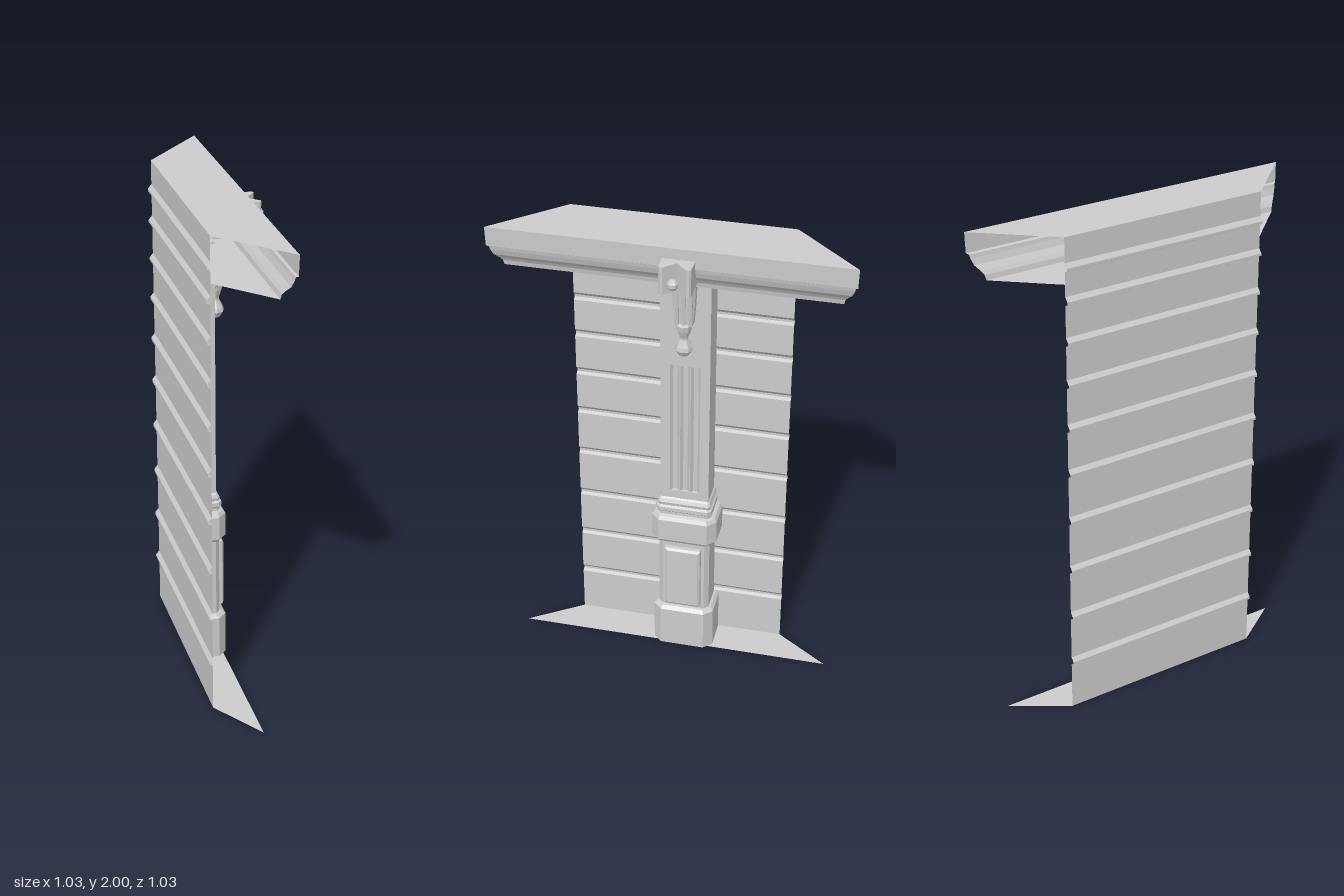
import * as THREE from 'three';

const WALL = -0.22;   // wall plane depth
const C = 0.038;      // pilaster centre along the wall
const mat = new THREE.MeshStandardMaterial({ color: 0xcccccc, flatShading: true, side: THREE.DoubleSide });

function add(parent, name, geo) {
  const m = new THREE.Mesh(geo, mat);
  m.name = name;
  parent.add(m);
  return m;
}

// Skin a list of rows of [x, y, z]; rows run upward, columns left to right
function skin(rows) {
  const n = rows[0].length, index = [];
  for (let i = 0; i < rows.length - 1; i++)
    for (let j = 0; j < n - 1; j++) {
      const a = i * n + j, d = a + n;
      index.push(a, a + 1, d + 1, a, d + 1, d);
    }
  const g = new THREE.BufferGeometry();
  g.setAttribute('position', new THREE.Float32BufferAttribute(rows.flat(2), 3));
  g.setIndex(index);
  const flat = g.toNonIndexed();
  flat.computeVertexNormals();
  return flat;
}

// Vertical prism from an [x, z] outline
function prism(outline, y0, y1) {
  const s = new THREE.Shape(outline.map(([x, z]) => new THREE.Vector2(x, -z)));
  return new THREE.ExtrudeGeometry(s, { depth: y1 - y0, bevelEnabled: false })
    .rotateX(-Math.PI / 2).translate(0, y0, 0);
}

// Three-sided section with chamfered front corners: [y, half width, front, chamfer, back]
function section([y, w, f, ch, back = -0.215]) {
  return [[-w, back], [-w, f - ch], [-w + ch, f], [w - ch, f], [w, f - ch], [w, back]]
    .map(([x, z]) => [C + x, y, z]);
}

export function createModel() {
  const root = new THREE.Group();
  root.name = 'wallBay';
  const bay = new THREE.Group();
  bay.name = 'bay';
  bay.rotation.y = Math.PI * 0.75;
  root.add(bay);

  // Wall sheet with horizontal grooves
  const wall = [[0, WALL]];
  for (const y of [0.21, 0.42, 0.63, 0.845, 1.05, 1.24, 1.42, 1.59, 1.75, 1.88])
    wall.push([y - 0.012, WALL], [y - 0.005, WALL - 0.014], [y + 0.005, WALL - 0.014], [y + 0.022, WALL]);
  wall.push([2, WALL]);
  add(bay, 'groovedWall', skin(wall.map(([y, z]) => [[-0.44, y, z], [0.44, y, z]])));

  // Floor strip
  add(bay, 'floorStrip', skin([
    [[-0.657, 0, -0.074], [0.657, 0, -0.074]],
    [[-0.44, 0, WALL], [0.44, 0, WALL]],
  ]));

  // Cornice with open mitred ends
  const cornice = [[1.82, WALL], [1.82, -0.025], [1.84, -0.021], [1.855, -0.012], [1.875, 0.004],
    [1.9, 0.013], [1.915, 0.016], [1.92, 0.024], [2, 0.026], [2, WALL]];
  add(bay, 'cornice', skin(cornice.map(([y, z]) => {
    const w = 0.44 + (z - WALL) * 1.08;
    return [[-w, y, z], [w, y, z]];
  })));

  const pilaster = new THREE.Group();
  pilaster.name = 'pilaster';
  bay.add(pilaster);

  // Base block, die, collar and stepped rings
  add(pilaster, 'pilasterBase', skin([
    [0, 0.128, -0.06, 0.035], [0.185, 0.128, -0.06, 0.035], [0.198, 0.116, -0.075, 0.03],
    [0.2, 0.107, -0.085, 0.018], [0.545, 0.107, -0.085, 0.018],
    [0.55, 0.125, -0.072, 0.03], [0.565, 0.137, -0.062, 0.035], [0.665, 0.137, -0.062, 0.035],
    [0.68, 0.128, -0.072, 0.03], [0.685, 0.112, -0.085, 0.015, -0.223], [0.698, 0.112, -0.085, 0.015, -0.223],
    [0.705, 0.116, -0.078, 0.015], [0.722, 0.116, -0.078, 0.015], [0.728, 0.109, -0.088, 0.01],
    [0.742, 0.112, -0.085, 0.01], [0.756, 0.106, -0.092, 0.008], [0.762, 0.1, -0.1, 0.004],
  ].map(section)));

  // Raised panel with sloping edges
  const px = 0.075;
  add(pilaster, 'diePanel', skin([[0.22, px, -0.09], [0.22, px, -0.068], [0.23, px - 0.01, -0.06],
    [0.51, px - 0.01, -0.06], [0.52, px, -0.068], [0.52, px, -0.09]]
    .map(([y, w, z]) => [[C - px, y, -0.09], [C - px, y, Math.min(z, -0.068)],
      [C - w, y, z], [C + w, y, z], [C + px, y, Math.min(z, -0.068)], [C + px, y, -0.09]])));

  // Shaft: plain ends and a fluted middle
  const plain = [[C - 0.1, -0.215], [C + 0.1, -0.215], [C + 0.1, -0.1], [C - 0.1, -0.1]];
  const fluted = plain.slice(0, 3);
  for (const k of [1, 0, -1]) {
    const x = C + k * 0.042;
    fluted.push([x + 0.019, -0.1], [x + 0.009, -0.113], [x - 0.009, -0.113], [x - 0.019, -0.1]);
  }
  fluted.push(plain[3]);
  add(pilaster, 'shaftFoot', prism(plain, 0.755, 0.8));
  add(pilaster, 'flutedShaft', prism(fluted, 0.8, 1.41));
  add(pilaster, 'shaftHead', prism(plain, 1.41, 1.83));

  // Console under the cornice, with ribs
  add(pilaster, 'console', skin([
    [1.6, 0.022, -0.08, 0.006], [1.62, 0.036, -0.066, 0.01], [1.7, 0.042, -0.06, 0.012],
    [1.79, 0.046, -0.056, 0.012], [1.8, 0.052, -0.048, 0.01], [1.83, 0.052, -0.048, 0.01],
  ].map(([y, w, f, ch]) => section([y, w, f, ch, -0.105]))));
  for (const k of [-1, 0, 1]) {
    const rib = add(pilaster, 'consoleRib', new THREE.CylinderGeometry(0.013, 0.009, 0.18, 6));
    rib.position.set(C + k * 0.026, 1.71, -0.06);
    rib.rotation.x = 0.04;
  }

  // Pendant finial
  const drop = [[0, 1.475], [0.02, 1.485], [0.036, 1.51], [0.032, 1.525], [0.017, 1.555],
    [0.017, 1.565], [0.028, 1.595], [0.032, 1.62], [0, 1.63]];
  add(pilaster, 'pendant', new THREE.LatheGeometry(drop.map(p => new THREE.Vector2(...p)), 8))
    .position.set(C, 0, -0.073);

  // Notched block on the cornice face, with a boss
  add(bay, 'corniceBlock', prism([[C - 0.062, -0.02], [C + 0.062, -0.02], [C + 0.062, 0.088],
    [C + 0.056, 0.095], [C + 0.045, 0.095], [C, 0.05], [C - 0.045, 0.095],
    [C - 0.056, 0.095], [C - 0.062, 0.088]], 1.84, 1.955));
  const boss = add(bay, 'boss', new THREE.SphereGeometry(0.023, 8, 5));
  boss.position.set(C - 0.006, 1.89, 0.097);

  return root;
}
